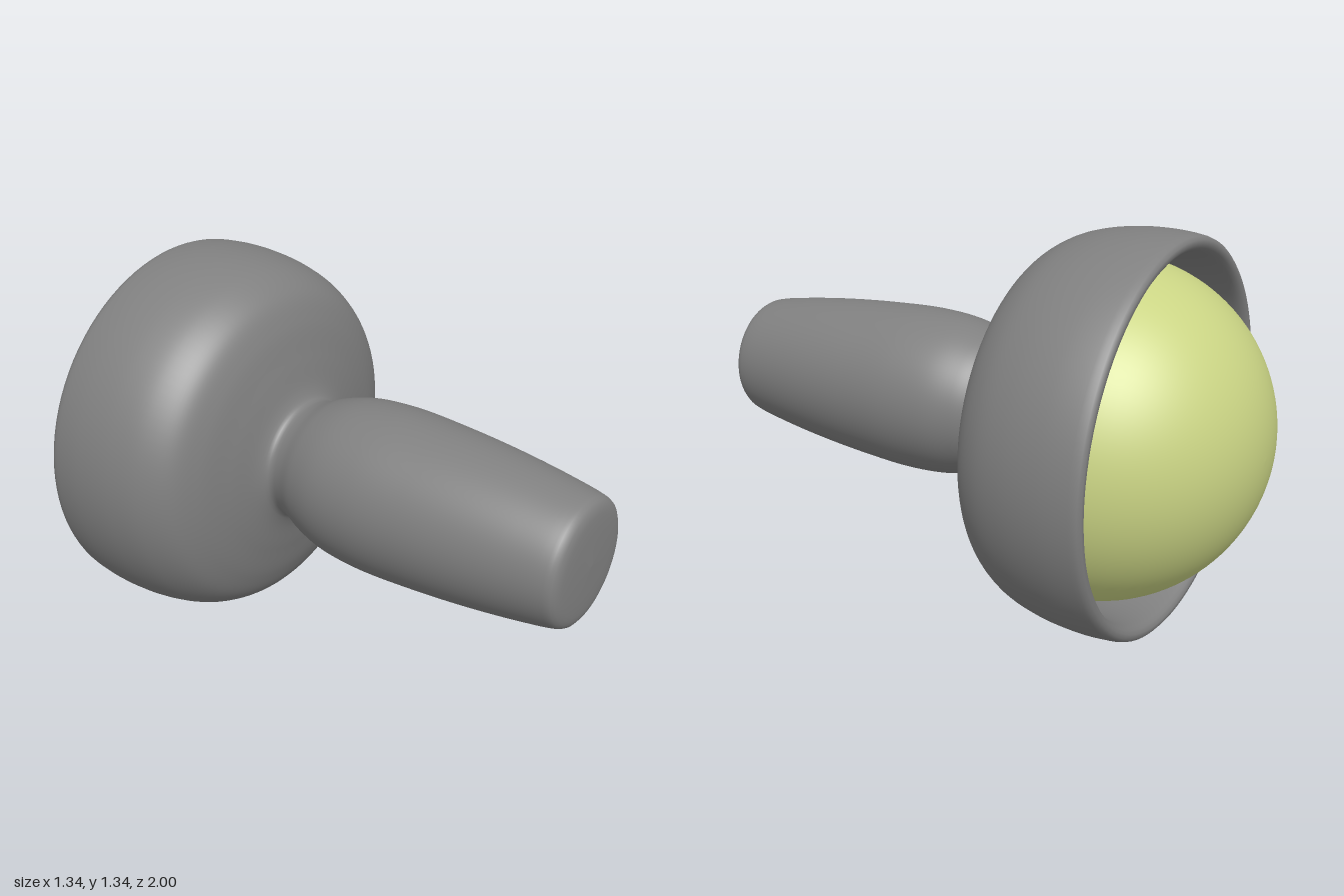
import * as THREE from 'three';

const AXIS_Y = 0.668; // height of the shared turning axis

// Smooth curve through [radius, z] pairs, sampled for turning
function smoothProfile(pairs, samples) {
  const curve = new THREE.CatmullRomCurve3(
    pairs.map(([r, z]) => new THREE.Vector3(r, z, 0)), false, 'centripetal');
  return curve.getSpacedPoints(samples).map(p => new THREE.Vector2(Math.max(p.x, 0), p.y));
}

// Turn a profile about the z axis
function turned(name, points, color) {
  const geometry = new THREE.LatheGeometry(points, 96);
  geometry.rotateX(Math.PI / 2);
  const mesh = new THREE.Mesh(geometry, new THREE.MeshStandardMaterial({ color }));
  mesh.name = name;
  mesh.position.y = AXIS_Y;
  return mesh;
}

export function createModel() {
  const group = new THREE.Group();
  group.name = 'ballTool';

  // Hollow cup: cavity floor, inner wall, rounded rim, outer wall, down to the neck
  const cup = [
    [0, -0.22], [0.25, -0.235], [0.45, -0.3], [0.55, -0.4], [0.585, -0.55],
    [0.602, -0.65], [0.612, -0.687], [0.627, -0.703], [0.644, -0.704],
    [0.656, -0.694], [0.661, -0.675], [0.668, -0.57], [0.655, -0.43],
    [0.622, -0.32], [0.565, -0.24], [0.48, -0.194], [0.36, -0.16],
    [0.245, -0.13], [0.215, -0.11],
  ];
  // Handle: neck, swelling grip, taper, rounded end
  const handle = [
    [0.22, -0.07], [0.25, 0], [0.278, 0.1], [0.29, 0.25],
    [0.282, 0.45], [0.265, 0.65], [0.242, 0.83], [0.221, 0.95],
    [0.212, 0.975], [0.19, 0.988], [0.15, 0.994], [0, 1],
  ];
  group.add(turned('cupAndHandle', smoothProfile([...cup, ...handle], 220), 0x808080));

  // Dome seated in the cup, its edge buried in the inner wall
  const dome = [];
  for (let i = 0; i <= 32; i++) {
    const angle = (i / 32) * Math.PI / 2;
    dome.push(new THREE.Vector2(0.574 * Math.sin(angle), -0.43 - 0.57 * Math.cos(angle)));
  }
  group.add(turned('dome', dome, 0xcad484));

  return group;
}
